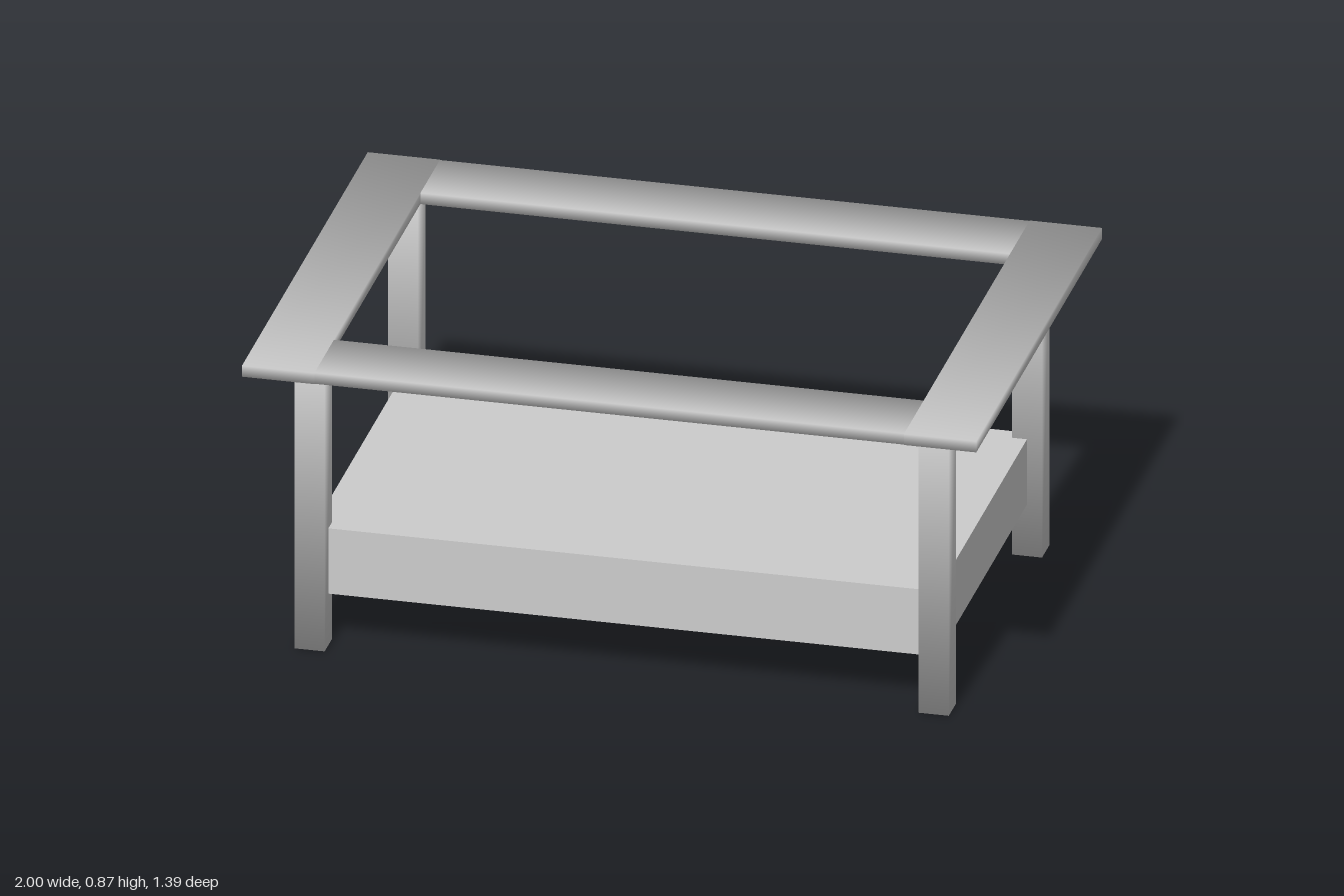
import * as THREE from 'three';

const material = new THREE.MeshStandardMaterial({ color: 0xcccccc });

// Box spanning the given centre and size; soft boxes share one diagonal normal per corner
function box(name, size, centre, soft) {
  const geometry = new THREE.BoxGeometry(...size);
  if (soft) {
    const p = geometry.attributes.position;
    const n = geometry.attributes.normal;
    const k = 1 / Math.sqrt(3);
    for (let i = 0; i < p.count; i++) {
      n.setXYZ(i, Math.sign(p.getX(i)) * k, Math.sign(p.getY(i)) * k, Math.sign(p.getZ(i)) * k);
    }
  }
  const mesh = new THREE.Mesh(geometry, material);
  mesh.name = name;
  mesh.position.set(...centre);
  return mesh;
}

export function createModel() {
  const table = new THREE.Group();
  table.name = 'coffeeTable';

  const top = 0.873, thickness = 0.032;
  const railY = top - thickness / 2;
  const legHeight = top - thickness;

  // Open top frame: two full-depth side rails with long rails between them
  for (const s of [1, -1]) {
    table.add(box(s > 0 ? 'leftRail' : 'rightRail', [0.197, thickness, 1.39], [s * 0.9015, railY, 0], true));
    table.add(box(s > 0 ? 'frontRail' : 'backRail', [1.606, thickness, 0.215], [0, railY, s * 0.585], true));
  }

  // Four square legs set in from the corners
  for (const [zName, z] of [['front', 0.515], ['back', -0.515]]) {
    for (const [xName, x] of [['Left', 0.85], ['Right', -0.85]]) {
      table.add(box(`${zName}${xName}Leg`, [0.082, legHeight, 0.082], [x, legHeight / 2, z], true));
    }
  }

  // Thick lower shelf running into the legs
  table.add(box('shelf', [1.7, 0.19, 1.03], [0, 0.245, 0], false));

  return table;
}
